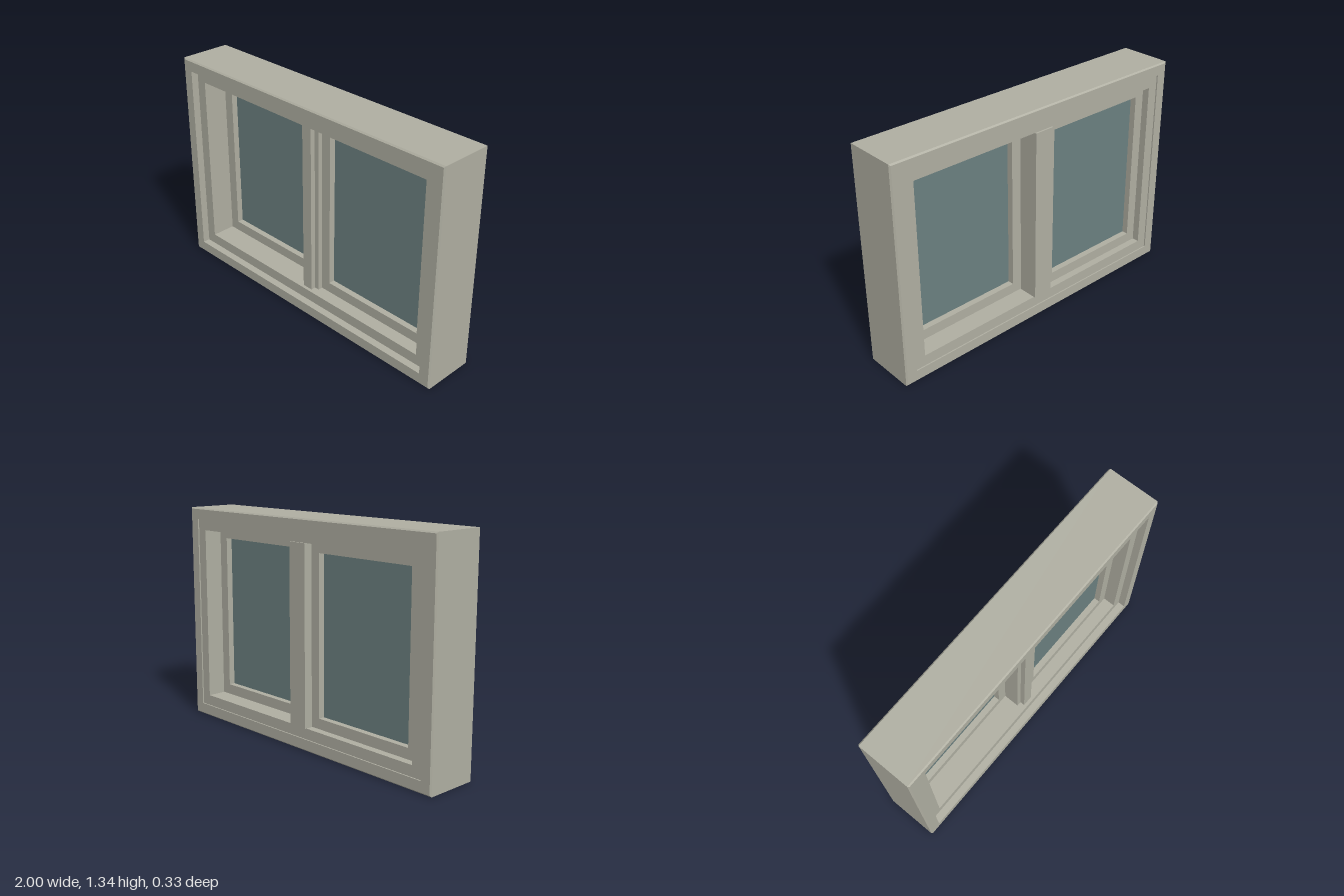
import * as THREE from 'three';

const frameMaterial = new THREE.MeshStandardMaterial({ color: 0xb0afa2 });
const glassMaterial = new THREE.MeshStandardMaterial({ color: 0x6c8181 });

// Sweeps a closed profile of [inset, z] points around a rectangle, with mitred corners.
function mitredRing(name, x0, x1, y0, y1, profile) {
  const corner = (k, [d, z]) => [
    [x0 + d, y0 + d, z], [x1 - d, y0 + d, z], [x1 - d, y1 - d, z], [x0 + d, y1 - d, z],
  ][k % 4];
  const positions = [];
  for (let k = 0; k < 4; k++) {
    profile.forEach((p, i) => {
      const q = profile[(i + 1) % profile.length];
      const a = corner(k, p), b = corner(k + 1, p), c = corner(k + 1, q), d = corner(k, q);
      positions.push(...a, ...b, ...c, ...a, ...c, ...d);
    });
  }
  const geometry = new THREE.BufferGeometry();
  geometry.setAttribute('position', new THREE.Float32BufferAttribute(positions, 3));
  geometry.computeVertexNormals();
  const mesh = new THREE.Mesh(geometry, frameMaterial);
  mesh.name = name;
  return mesh;
}

function box(name, x0, x1, y0, y1, z0, z1, material = frameMaterial) {
  const mesh = new THREE.Mesh(new THREE.BoxGeometry(x1 - x0, y1 - y0, z1 - z0), material);
  mesh.position.set((x0 + x1) / 2, (y0 + y1) / 2, (z0 + z1) / 2);
  mesh.name = name;
  return mesh;
}

// A sliding sash: four mitred bars around one pane
function sash(name, x0, x1, z) {
  const group = new THREE.Group();
  group.name = name;
  const half = 0.043, width = 0.063;
  group.add(mitredRing(name + 'Bars', x0, x1, 0.137, 1.21, [
    [0, -half], [0, half], [width, half], [width, -half],
  ]));
  group.add(box(name + 'Glass', x0 + 0.04, x1 - 0.04, 0.177, 1.17, -0.005, 0.005, glassMaterial));
  group.position.z = z;
  return group;
}

export function createModel() {
  const model = new THREE.Group();
  model.name = 'slidingWindow';

  // Outer frame: chamfered edges, a deep rebate in front and a shallow one behind
  const e = 0.008, front = 0.165, back = -0.165;
  model.add(mitredRing('outerFrame', -1, 1, 0, 1.335, [
    [0, back + e], [0, front - e], [e, front],
    [0.07, front], [0.07, 0.12], [0.135, 0.12],
    [0.135, back + 0.008], [0.07, back + 0.008], [0.07, back], [e, back],
  ]));

  // Staggered sashes, the left one in front
  model.add(sash('leftSash', 0.062, 0.863, 0));
  model.add(sash('rightSash', -0.863, -0.062, -0.072));

  // Central post with a raised strip on its front
  model.add(box('centrePost', -0.064, 0.062, 0.135, 1.2, -0.168, 0.07));
  model.add(box('centrePostStrip', -0.035, 0.032, 0.135, 1.2, 0.065, 0.1));

  return model;
}
